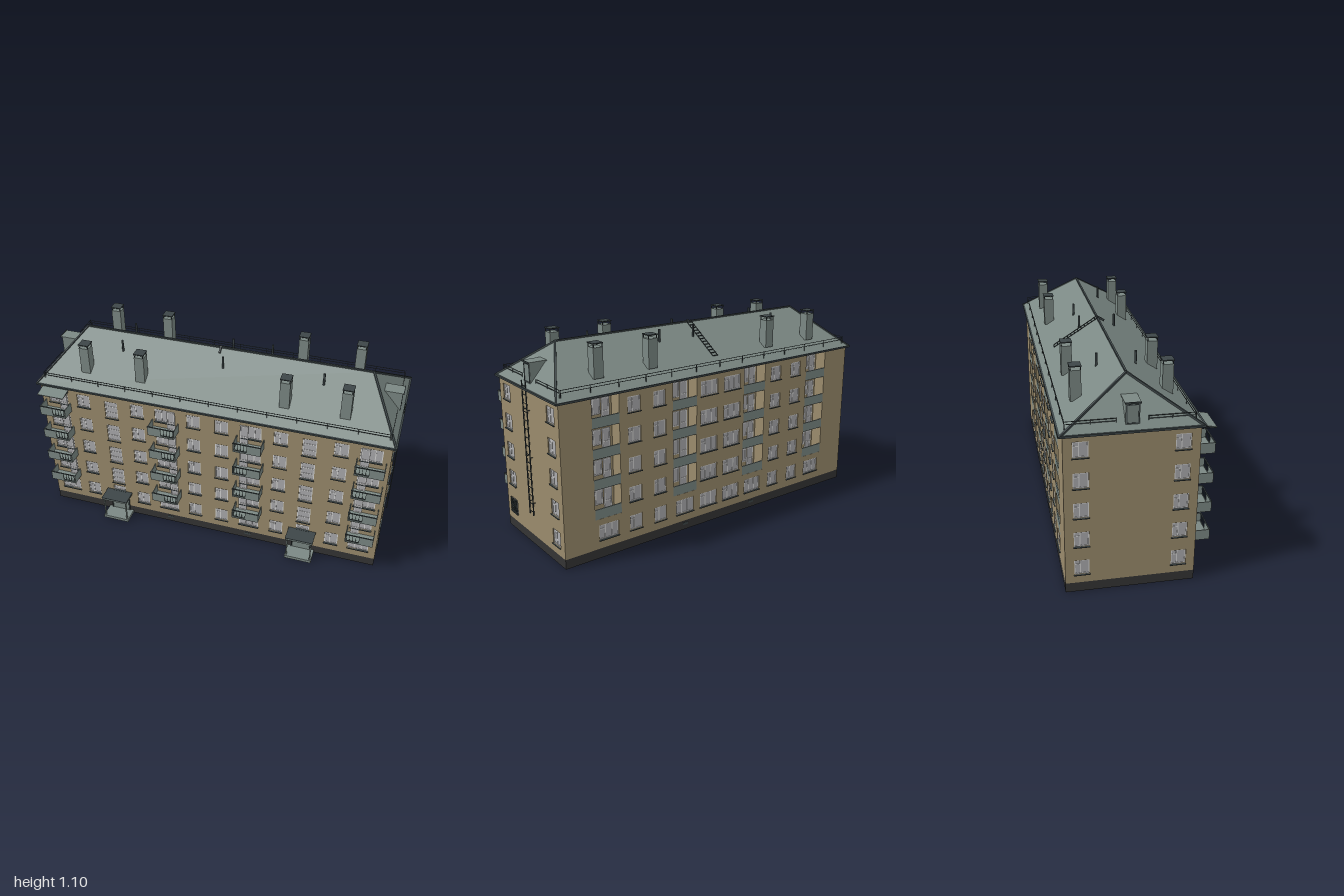
import * as THREE from 'three';
import { mergeGeometries } from 'three/addons/utils/BufferGeometryUtils.js';

const mat = (name, color, side = THREE.FrontSide) => {
  const m = new THREE.MeshStandardMaterial({ color, side });
  m.name = name;
  return m;
};

// box given by centre and size
const box = (x, y, z, w, h, d) => new THREE.BoxGeometry(w, h, d).translate(x, y, z);

// square bar between two points
function rod(a, b, t) {
  const p = new THREE.Vector3(...a), q = new THREE.Vector3(...b);
  const m = new THREE.Matrix4().lookAt(q, p, new THREE.Vector3(0.01, 1, 0.02).normalize());
  return new THREE.BoxGeometry(t, t, p.distanceTo(q)).applyMatrix4(m.setPosition(p.lerp(q, 0.5)));
}

export function createModel() {
  const wallMat = mat('tan plaster', 0x9a8b6c), plinthMat = mat('dark plinth', 0x343434);
  const metal = mat('grey green metal', 0x7b8884), trim = mat('dark trim', 0x3d4648);
  const glass = mat('window glass', 0xacacae), frameMat = mat('window frame', 0xd6d6d6);

  const model = new THREE.Group();
  const part = (parent, name, material, geoms) => {
    if (!geoms.length) return;
    const mesh = new THREE.Mesh(mergeGeometries(geoms), material);
    mesh.name = name;
    parent.add(mesh);
  };
  const X = 0.98, ZF = 0.286, ZB = -0.358, ZC = -0.036, TOP = 0.86, BASE = 0.052, T = 0.014;
  const floorY = (i) => 0.14 + 0.1605 * i;

  // window panes, frame bars and sill in wall coordinates
  function addWindow(out, [x, y, w, h, kind], z = -0.008) {
    const t = 0.005, x0 = x - w / 2;
    out.glass.push(box(x, y, z, w, h, 0.003));
    const bar = (bx, by, bw, bh) => out.frame.push(box(bx, by, z, bw, bh, 0.007));
    for (const s of [-1, 1]) {
      bar(x + s * (w - t) / 2, y, t, h);
      bar(x, y + s * (h - t) / 2, w, t);
    }
    if (kind === 'wide') {
      for (const f of [0.33, 0.67]) bar(x0 + w * f, y, t, h);
      bar(x0 + w * 0.165, y + h * 0.2, w * 0.33, t);
    } else if (kind === 'stair') {
      bar(x, y + h * 0.18, w, t);
      bar(x, y - h * 0.18, w, t);
    } else if (kind === 'door') {
      bar(x, y - h * 0.1, w, t);
    } else {
      bar(x0 + w * 0.4, y, t, h);
      bar(x0 + w * 0.2, y + h * 0.2, w * 0.4, t);
    }
    if (kind !== 'door') out.sill.push(box(x, y - h / 2 - 0.002, 0.001, w + 0.006, 0.004, 0.012));
  }

  // one wall with window holes, extra openings and its plinth
  function wall(name, width, pos, rotY, windows, openings = [], inset = 0) {
    const g = new THREE.Group();
    g.name = name;
    g.position.set(...pos);
    g.rotation.y = rotY;
    const rect = (S, x, y, w, h) => {
      const p = new S();
      p.moveTo(x - w / 2, y - h / 2).lineTo(x + w / 2, y - h / 2);
      p.lineTo(x + w / 2, y + h / 2).lineTo(x - w / 2, y + h / 2).closePath();
      return p;
    };
    const w = width - inset * 2;
    const shape = rect(THREE.Shape, 0, (TOP + BASE) / 2, w, TOP - BASE);
    for (const o of [...windows, ...openings]) shape.holes.push(rect(THREE.Path, ...o));
    const body = new THREE.ExtrudeGeometry(shape, { depth: T, bevelEnabled: false }).translate(0, 0, -T);
    part(g, name + 'Plaster', wallMat, [body]);
    part(g, name + 'Plinth', plinthMat, [box(0, BASE / 2, -T / 2, w, BASE, T)]);
    const out = { glass: [], frame: [], sill: [] };
    windows.forEach((o) => addWindow(out, o));
    part(g, 'windowGlass', glass, out.glass);
    part(g, 'windowFrames', frameMat, out.frame);
    part(g, 'windowSills', trim, out.sill);
    model.add(g);
    return g;
  }

  const front = [], back = [], side = [], loggias = [];
  for (let i = 0; i < 5; i++) {
    const y = floorY(i);
    for (const s of [-1, 1]) {
      for (const x of [0.88, 0.243]) front.push([s * x, y, 0.115, 0.082, 'wide']);
      for (const x of [0.726, 0.406, 0.08]) front.push([s * x, y, 0.075, 0.082, 'pair']);
      front.push(i ? [s * 0.56, y - 0.027, 0.075, 0.11, 'stair'] : [s * 0.56, 0.178, 0.075, 0.034, 'pair']);
      for (const x of [0.56, 0.405]) back.push([s * x, y, 0.075, 0.082, 'pair']);
      back.push([s * 0.08, y, 0.115, 0.082, 'wide']);
      if (!i) for (const x of [0.725, 0.243]) back.push([s * x, y, 0.115, 0.082, 'wide']);
      side.push([s * 0.24, y, 0.075, 0.082, 'pair']);
    }
  }
  for (const x of [-0.725, -0.243, 0.243, 0.725]) loggias.push([x, 0.533, 0.155, 0.636]);
  wall('frontWall', 2 * X, [0, 0, ZF], 0, front);
  const backWall = wall('backWall', 2 * X, [0, 0, ZB], Math.PI, back, loggias);
  const endWall = wall('ladderEndWall', ZF - ZB, [X, 0, ZC], Math.PI / 2, side, [], T);
  wall('plainEndWall', ZF - ZB, [-X, 0, ZC], -Math.PI / 2, side, [], T);

  // recessed loggias in the back wall
  const niche = [], decks = [], bay = { glass: [], frame: [], sill: [] }, D = 0.075;
  for (const [x, y, w, h] of loggias) {
    niche.push(box(x, y, -D, w + 0.01, h, 0.006));
    for (const s of [-1, 1]) niche.push(box(x + s * (w / 2 + 0.003), y, -D / 2 - 0.006, 0.006, h, D));
    niche.push(box(x, y + h / 2 + 0.003, -D / 2 - 0.006, w, 0.006, D));
    for (let i = 1; i < 5; i++) {
      const f = floorY(i) - 0.085;
      decks.push(box(x, f + 0.004, -D / 2, w, 0.008, D), box(x, f + 0.027, -0.003, w, 0.054, 0.006));
      addWindow(bay, [x - 0.025, f + 0.085, 0.07, 0.082, 'pair'], -D + 0.005);
      addWindow(bay, [x + 0.04, f + 0.068, 0.045, 0.116, 'door'], -D + 0.005);
    }
  }
  part(backWall, 'loggiaNiches', wallMat, niche);
  part(backWall, 'loggiaParapets', metal, decks);
  part(backWall, 'loggiaGlass', glass, bay.glass);
  part(backWall, 'loggiaFrames', frameMat, bay.frame);

  // front balconies: solid panel outside, open railing towards the middle
  const slabs = [], rails = [], doors = { glass: [], frame: [], sill: [] };
  for (const x of [-0.885, -0.241, 0.241, 0.885]) {
    const inner = -Math.sign(x), zo = 0.363, w = 0.153;
    for (let i = 1; i < 5; i++) {
      const f = floorY(i) - 0.085;
      slabs.push(box(x, f + 0.004, (ZF + zo) / 2, w, 0.008, zo - ZF));
      slabs.push(box(x - inner * w / 4, f + 0.028, zo - 0.002, w / 2, 0.054, 0.004));
      for (const s of [-1, 1]) slabs.push(box(x + s * (w / 2 - 0.002), f + 0.028, (ZF + zo) / 2, 0.004, 0.054, zo - ZF));
      rails.push(box(x, f + 0.055, zo - 0.002, w + 0.003, 0.004, 0.006));
      rails.push(box(x + inner * w / 4, f + 0.012, zo - 0.002, w / 2, 0.004, 0.004));
      for (let k = 1; k < 5; k++) rails.push(box(x + inner * w * k / 9, f + 0.03, zo - 0.002, 0.002, 0.05, 0.002));
      addWindow(doors, [x + inner * 0.035, f + 0.066, 0.045, 0.116, 'door'], ZF + 0.003);
    }
  }
  part(model, 'balconies', metal, slabs);
  part(model, 'balconyRails', trim, rails);
  part(model, 'balconyDoorGlass', glass, doors.glass);
  part(model, 'balconyDoorFrames', frameMat, doors.frame);

  // sloping canopy over one top balcony
  part(model, 'balconyCanopy', metal, [box(0, 0, 0, 0.155, 0.004, 0.08).rotateX(0.2).translate(-0.885, 0.84, 0.325)]);
  part(model, 'canopyBrackets', trim, [-0.955, -0.885, -0.815].flatMap((x) => [
    rod([x, 0.843, ZF], [x, 0.828, 0.363], 0.004), rod([x, 0.828, ZF], [x, 0.828, 0.363], 0.003)]));

  // entrance porches
  for (const x of [-0.56, 0.56]) {
    const porch = new THREE.Group();
    porch.name = 'entrancePorch';
    porch.position.x = x;
    part(porch, 'porchSlabAndRoof', metal, [box(0, 0.009, 0.331, 0.155, 0.018, 0.09), box(0, 0.152, 0.332, 0.155, 0.011, 0.092),
      ...[-1, 1].map((s) => box(s * 0.068, 0.082, 0.366, 0.007, 0.13, 0.007)), box(0, 0.078, 0.289, 0.1, 0.12, 0.006)]);
    part(porch, 'doorTrim', trim, [box(0, 0.1585, 0.332, 0.158, 0.003, 0.094), box(0, 0.14, 0.289, 0.115, 0.005, 0.009),
      ...[-0.055, 0.055].map((k) => box(k, 0.08, 0.289, 0.005, 0.125, 0.009)),
      box(0.012, 0.08, 0.294, 0.014, 0.005, 0.004), box(0.012, 0.108, 0.294, 0.014, 0.014, 0.003)]);
    model.add(porch);
  }

  // plinth vents
  part(model, 'plinthVents', trim, [-0.24, 0.24].flatMap((x) => [ZF, ZB].map((z) => box(x, 0.034, z, 0.035, 0.014, 0.004))));

  // hipped roof
  const E = 0.995, EF = 0.3, EB = -0.373, RY = 1.075, RX = 0.81;
  const A = [-E, TOP, EF], B = [E, TOP, EF], C = [E, TOP, EB], F = [-E, TOP, EB], L = [-RX, RY, ZC], R = [RX, RY, ZC];
  const roof = new THREE.BufferGeometry();
  roof.setAttribute('position', new THREE.Float32BufferAttribute(
    [A, B, R, A, R, L, B, C, R, C, F, L, C, L, R, F, A, L, A, F, C, A, C, B].flat(), 3));
  roof.computeVertexNormals();
  part(model, 'hippedRoof', metal, [roof]);
  part(model, 'roofEdges', trim, [[A, B], [B, C], [C, F], [F, A], [L, R], [A, L], [B, R], [C, R], [F, L]].map(([a, b]) => rod(a, b, 0.01)));
  const roofY = (z) => TOP + (RY - TOP) * (z > ZC ? (EF - z) / (EF - ZC) : (z - EB) / (ZC - EB));

  // chimneys with raised caps
  const stacks = [], caps = [];
  for (const x of [-0.73, -0.408, 0.395, 0.715]) for (const z of [0.178, -0.263]) {
    stacks.push(box(x, 0.998, z, 0.054, 0.155, 0.054));
    caps.push(box(x, 1.095, z, 0.058, 0.005, 0.058));
    for (const s of [-1, 1]) for (const t of [-1, 1]) caps.push(box(x + s * 0.024, 1.084, z + t * 0.024, 0.004, 0.02, 0.004));
  }
  part(model, 'chimneys', metal, stacks);
  part(model, 'chimneyCaps', trim, caps);

  // vent pipes
  part(model, 'ventPipes', trim, [[-0.56, 0.063], [0.02, 0.063], [0.57, 0.063], [-0.56, -0.133], [0.02, -0.133], [0.245, -0.133]]
    .map(([x, z]) => new THREE.CylinderGeometry(0.006, 0.006, 0.07, 8).translate(x, 1.044, z)));

  // dormers at both roof ends
  for (const s of [-1, 1]) {
    const dormer = new THREE.Group();
    dormer.name = 'roofDormer';
    part(dormer, 'dormerBody', metal, [box(s * 0.922, 0.939, ZC, 0.1, 0.108, 0.066), box(s * 0.925, 0.993, ZC, 0.11, 0.005, 0.076)]);
    part(dormer, 'dormerTrim', trim, [box(s * 0.979, 0.994, ZC, 0.004, 0.008, 0.077), box(s * 0.973, 0.982, ZC, 0.003, 0.004, 0.056),
      box(s * 0.973, 0.892, ZC, 0.003, 0.004, 0.056), ...[-0.028, 0.028].map((k) => box(s * 0.973, 0.937, ZC + k, 0.003, 0.09, 0.004))]);
    model.add(dormer);
  }

  // fire ladder on one end wall
  const ladder = [];
  for (const u of [-0.021, 0.021]) {
    ladder.push(box(u, 0.54, 0.014, 0.005, 0.72, 0.005));
    for (const y of [0.25, 0.5, 0.75]) ladder.push(box(u, y, 0.006, 0.003, 0.003, 0.016));
  }
  for (let k = 0; k < 16; k++) ladder.push(box(0, 0.2 + k * 0.045, 0.014, 0.042, 0.003, 0.003));
  part(endWall, 'fireLadder', trim, ladder);

  // grille over a ground floor window
  const grille = [0.105, 0.14, 0.175].map((y) => box(-0.24, y, 0.004, 0.076, 0.003, 0.003));
  for (let k = 0; k < 8; k++) grille.push(box(-0.2765 + k * 0.0104, 0.14, 0.004, 0.003, 0.082, 0.003));
  part(endWall, 'windowGrille', trim, grille);

  // ladder over the back slope of the roof
  const steps = [], lift = 0.008;
  for (const x of [-0.036, -0.004]) steps.push(rod([x, RY + lift, ZC], [x, roofY(-0.28) + lift, -0.28], 0.003));
  for (let z = -0.28; z < ZC; z += 0.019) steps.push(box(-0.02, roofY(z) + lift, z, 0.036, 0.004, 0.004));
  steps.push(rod([-0.02, RY + lift, ZC], [-0.02, roofY(0.0) + lift, 0], 0.01));
  part(model, 'roofLadder', trim, steps);

  // snow and safety rails along the eaves
  const guard = [], gt = 0.0025;
  for (const z of [0.262, -0.345]) {
    for (const y of [0.902, 0.916]) guard.push(rod([-0.955, y, z], [0.955, y, z], gt));
    for (let k = 0; k <= 12; k++) guard.push(box(-0.955 + k * 0.1592, 0.896, z, gt, 0.042, gt));
  }
  for (const x of [-0.962, 0.962]) for (const [a, b] of [[0.262, 0.04], [-0.345, -0.11]]) {
    guard.push(rod([x, 0.905, a], [x, 0.905, b], gt), rod([x, 0.918, a], [x, 0.918, b], gt));
    for (const z of [a, (a + b) / 2, b]) guard.push(box(x, 0.9, z, gt, 0.04, gt));
  }
  part(model, 'eavesRails', trim, guard);
  return model;
}
